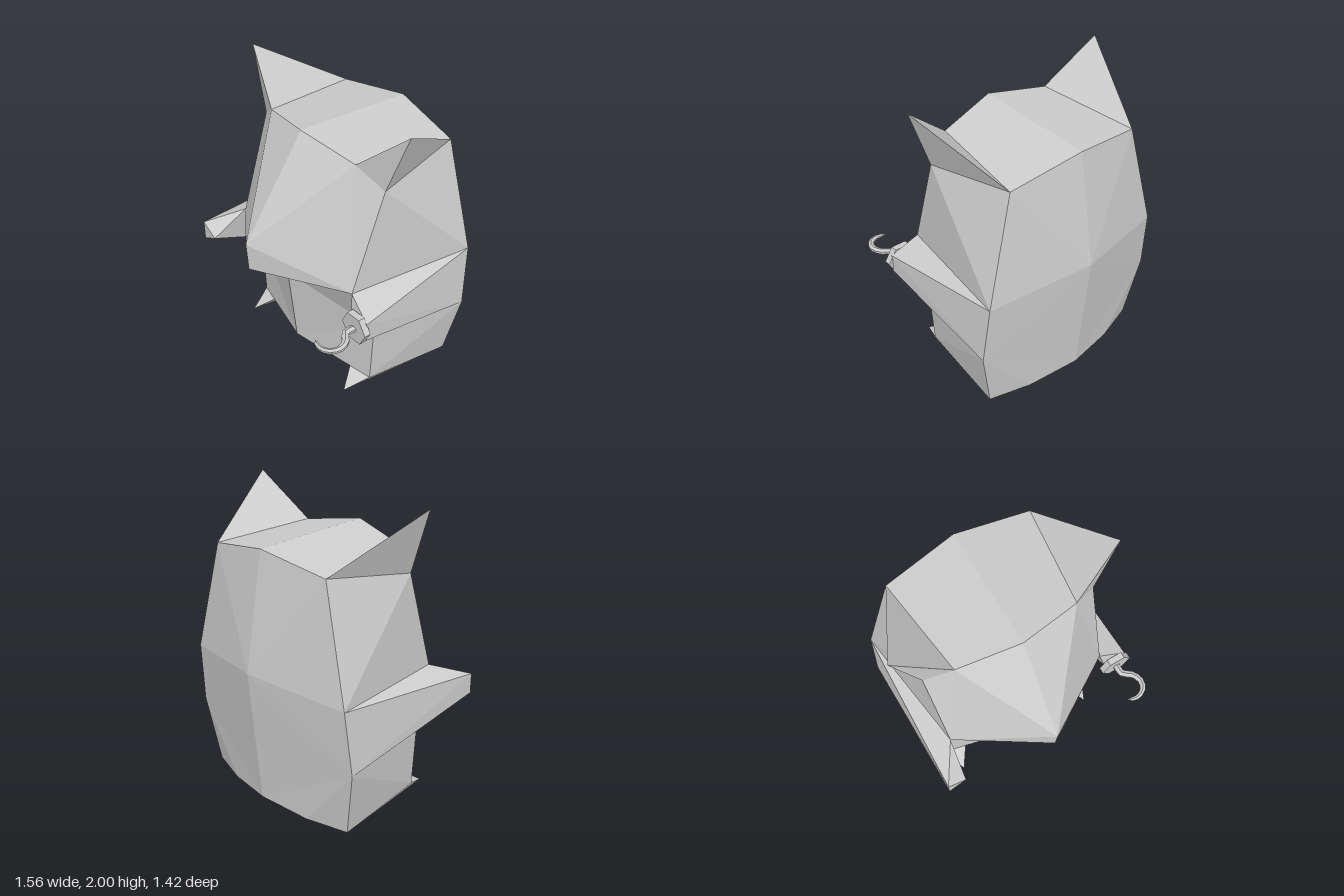
import * as THREE from 'three';
import { ConvexGeometry } from 'three/addons/geometries/ConvexGeometry.js';

const material = new THREE.MeshStandardMaterial({ color: 0xcccccc, flatShading: true });

// Corner points of the model's left half (+x); the other half is mirrored
const P = {
  crown: [0, 1.77, 0.26], earInner: [0.42, 1.7, 0.18], earOuter: [0.6, 1.57, 0.1],
  earTip: [0.76, 2, 0.07], topCorner: [0.51, 1.65, -0.52], topBack: [0, 1.73, -0.58],
  nose: [0, 1.11, 0.71], lip: [0, 0.91, 0.7], cheek: [0.58, 0.89, 0.33],
  chin: [0, 0.73, 0.4], waist: [0.63, 0.55, 0.18],
  belly: [0, 0.13, 0.34], hip: [0.6, 0.07, 0.18], footInner: [0.44, 0.085, 0.22],
  footTip: [0.53, 0, 0.35], heel: [0.65, 0, -0.47], heelInner: [0.36, 0, -0.555],
  tail: [0, 0.03, -0.62], spine: [0, 0.95, -0.71],
  shoulder: [0.71, 0.89, -0.56], elbow: [0.74, 0.46, -0.52],
};

// Faces of the half body, counter-clockwise from outside
const bodyFaces = [
  // face and mouth
  'crown nose earInner', 'nose cheek earInner', 'earInner cheek earOuter',
  'nose lip cheek', 'lip chin cheek',
  // belly
  'chin waist cheek', 'chin belly waist', 'belly hip waist',
  // sides
  'earOuter cheek shoulder', 'earOuter shoulder topCorner',
  'waist hip elbow', 'hip heel elbow',
  // back
  'topCorner shoulder spine', 'topCorner spine topBack', 'shoulder elbow spine',
  'elbow heel heelInner', 'elbow heelInner tail', 'elbow tail spine',
  // top and underside
  'crown earInner topCorner', 'crown topCorner topBack',
  'belly tail heelInner', 'belly heelInner hip', 'hip heelInner heel',
];

function add(parent, name, geometry) {
  const mesh = new THREE.Mesh(geometry, material);
  mesh.name = name;
  parent.add(mesh);
  return mesh;
}

function bodyGeometry() {
  const pos = [];
  for (const side of [1, -1]) {
    for (const face of bodyFaces) {
      const names = face.split(' ');
      if (side < 0) names.reverse();
      for (const n of names) pos.push(P[n][0] * side, P[n][1], P[n][2]);
    }
  }
  const g = new THREE.BufferGeometry();
  g.setAttribute('position', new THREE.Float32BufferAttribute(pos, 3));
  g.computeVertexNormals();
  return g;
}

// Solid spanned by a few corner points on one side
function hull(side, points) {
  return new ConvexGeometry(points.map(([x, y, z]) => new THREE.Vector3(x * side, y, z)));
}

// Curved hook that narrows to a point
function hookGeometry() {
  const path = new THREE.CatmullRomCurve3([
    [0, 0.4], [0, 0.47], [0.06, 0.52], [0.085, 0.58], [0.07, 0.635],
    [0.02, 0.67], [-0.03, 0.67], [-0.07, 0.65],
  ].map(([x, z]) => new THREE.Vector3(x, 0, z)));
  const rings = 12, sides = 6;
  const g = new THREE.TubeGeometry(path, rings, 0.027, sides);
  const pos = g.attributes.position, v = new THREE.Vector3();
  for (let i = 0; i < pos.count; i++) {
    const t = Math.floor(i / (sides + 1)) / rings;
    const taper = t > 0.99 ? 0.02 : 1 - 0.5 * t * t;
    v.fromBufferAttribute(pos, i).lerp(path.getPointAt(t), 1 - taper);
    pos.setXYZ(i, v.x, v.y * 0.7, v.z);
  }
  g.computeVertexNormals();
  return g;
}

export function createModel() {
  const model = new THREE.Group();
  model.name = 'hornedCreature';

  const creature = new THREE.Group();
  creature.name = 'creature';
  creature.position.x = -0.02;
  model.add(creature);
  add(creature, 'body', bodyGeometry());

  for (const side of [1, -1]) {
    const label = side > 0 ? 'left' : 'right';
    add(creature, label + 'Ear', hull(side, [P.earInner, P.earOuter, P.topCorner, P.earTip]));
    add(creature, label + 'Foot', hull(side, [P.hip, P.footInner, P.heel, P.heelInner, P.footTip]));
    // The left arm is cut short and carries the hook
    const wrist = side > 0
      ? [[0.77, 0.79, 0.37], [0.62, 0.72, 0.37], [0.77, 0.66, 0.37]]
      : [[0.74, 0.8, 0.58], [0.61, 0.73, 0.58], [0.74, 0.66, 0.58]];
    add(creature, label + 'Arm', hull(side, [P.shoulder, P.cheek, P.waist, P.elbow, ...wrist]));
  }

  // Hook with its six-sided cuff
  const hook = new THREE.Group();
  hook.name = 'hookHand';
  hook.position.set(0.67, 0.725, 0);
  model.add(hook);
  const cuff = new THREE.CylinderGeometry(0.11, 0.11, 0.045, 6);
  cuff.rotateY(Math.PI / 6).rotateX(Math.PI / 2).rotateZ(0.06);
  add(hook, 'cuff', cuff).position.z = 0.385;
  add(hook, 'hook', hookGeometry());

  return model;
}
